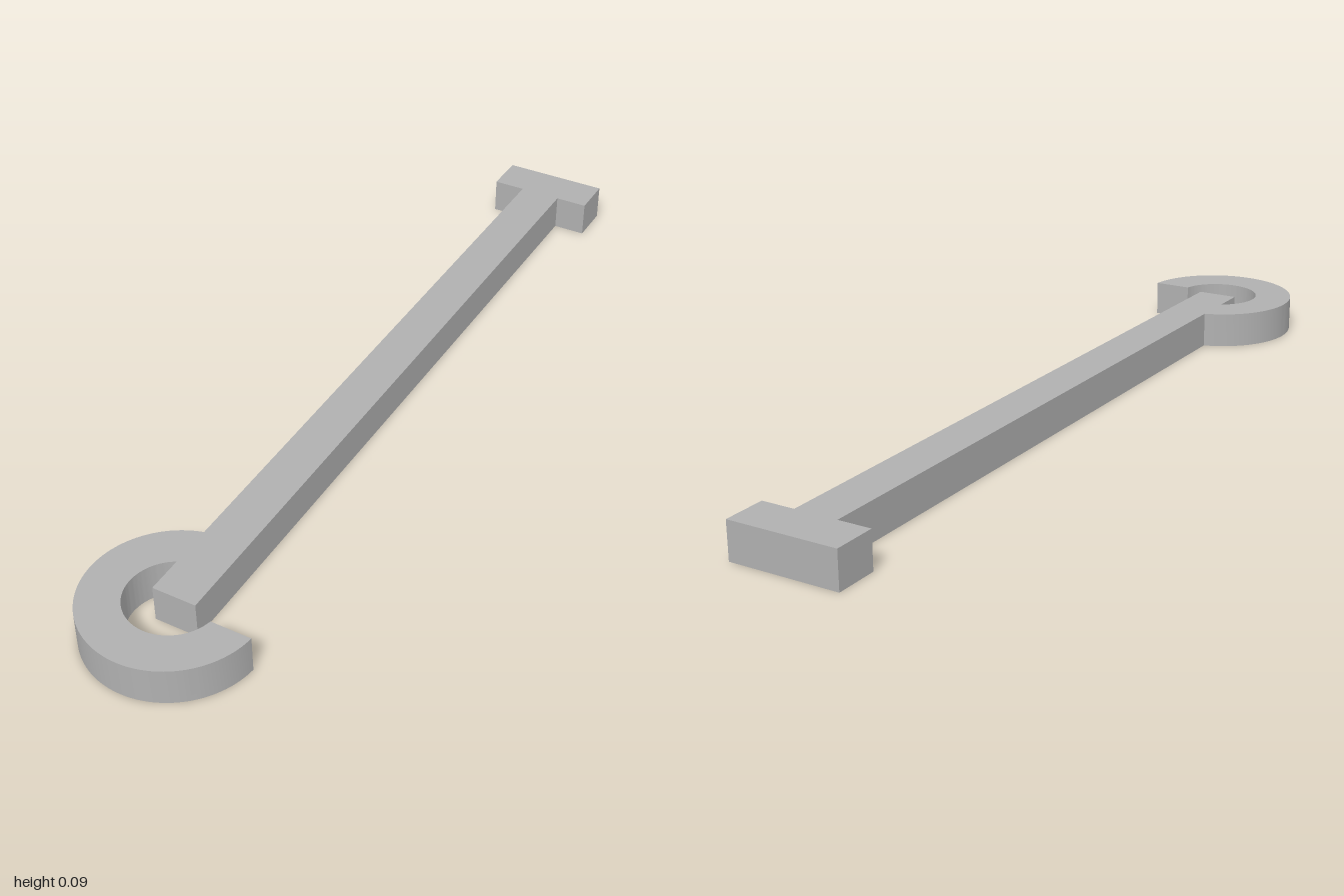
import * as THREE from 'three';
import { toCreasedNormals } from 'three/addons/utils/BufferGeometryUtils.js';

const HEIGHT = 0.085;
const SHAFT_HALF = 0.05;
const SHAFT_BACK = -0.9;
const HOOK_Z = 0.809, HOOK_OUTER = 0.191, HOOK_INNER = 0.1;
const TIP_DROP = 0.018; // the tip's flat cut lies this far in front of the hook centre

export function createModel() {
  const group = new THREE.Group();
  const grey = new THREE.MeshStandardMaterial({ color: 0xb0b0b0 });
  grey.name = 'grey';

  const add = (name, geometry) => {
    const mesh = new THREE.Mesh(geometry, grey);
    mesh.name = name;
    group.add(mesh);
    return mesh;
  };
  const bar = (name, width, z0, z1) => {
    add(name, new THREE.BoxGeometry(width, HEIGHT, z1 - z0))
      .position.set(0, HEIGHT / 2, (z0 + z1) / 2);
  };

  // Crossbar at the back and the long straight shaft
  bar('crossbar', 0.254, -1, SHAFT_BACK);
  bar('shaft', SHAFT_HALF * 2, SHAFT_BACK, 0.806);

  // Open ring: starts flush on the shaft's side and ends in a flat cut
  const start = (r) => Math.acos(-SHAFT_HALF / r);
  const end = (r) => Math.PI * 2 - Math.asin(TIP_DROP / r);
  const outline = new THREE.Shape();
  outline.absarc(0, 0, HOOK_OUTER, start(HOOK_OUTER), end(HOOK_OUTER), false);
  outline.absarc(0, 0, HOOK_INNER, end(HOOK_INNER), start(HOOK_INNER), true);
  outline.closePath();
  const hook = new THREE.ExtrudeGeometry(outline, {
    depth: HEIGHT, bevelEnabled: false, curveSegments: 36,
  });
  hook.rotateX(-Math.PI / 2);
  add('hook', toCreasedNormals(hook, 0.5)).position.z = HOOK_Z;

  return group;
}
